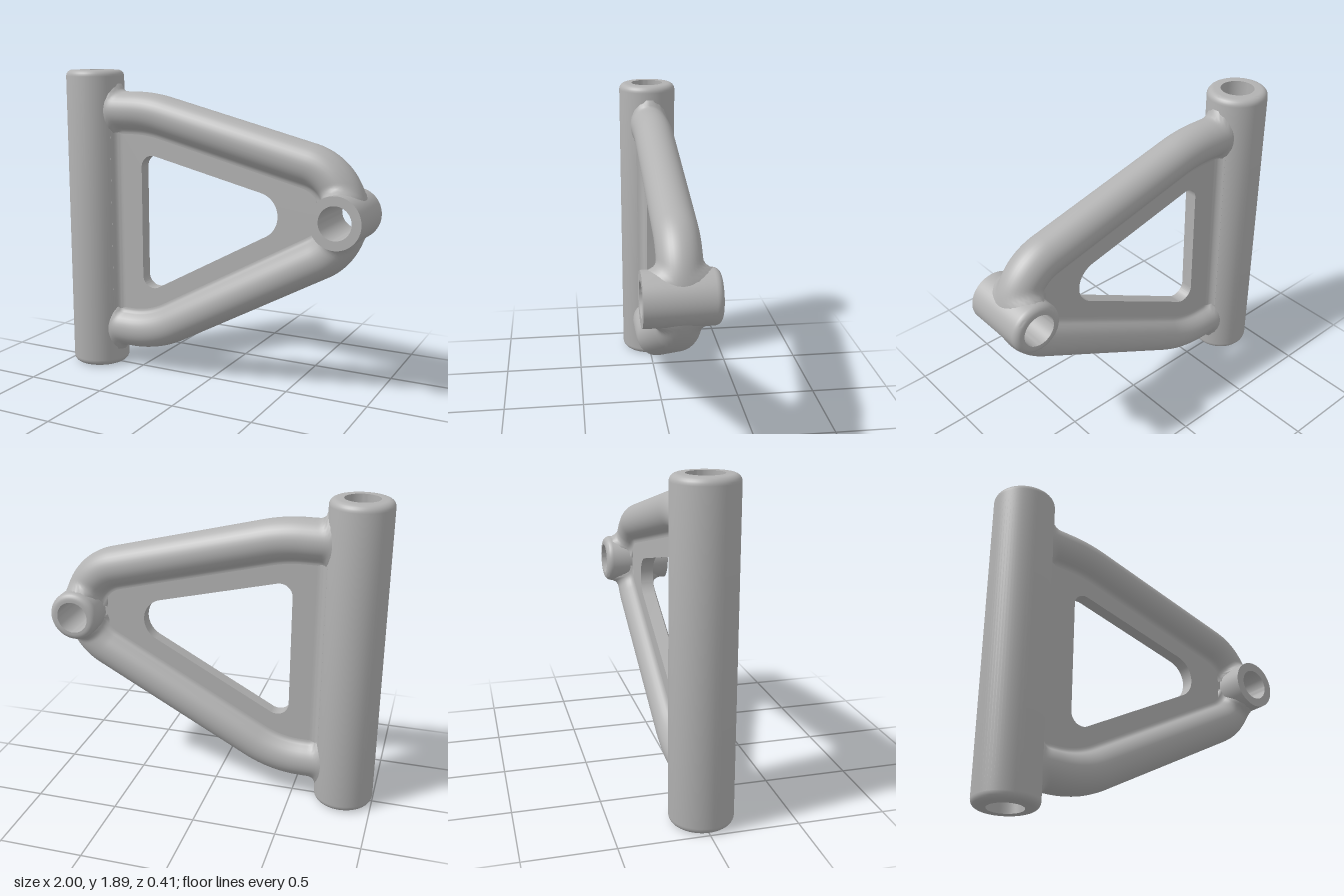
import * as THREE from 'three';
import { toCreasedNormals } from 'three/addons/utils/BufferGeometryUtils.js';

const RAD = Math.PI / 180;
const SLEEVE = { x: -0.82, r: 0.18, bore: 0.1, height: 1.89 };
const BOSS = { x: 0.845, y: 1.09, r: 0.15, bore: 0.096, half: 0.205 };
const ARM_R = 0.12;
const FILLET = 0.05;
const WEB_HALF = 0.04;
const V = (x, y) => new THREE.Vector2(x, y);

const metal = new THREE.MeshStandardMaterial({ color: 0xb2b2b2 });
metal.name = 'plain grey metal';

function part(name, geometry) {
  const mesh = new THREE.Mesh(geometry, metal);
  mesh.name = name;
  return mesh;
}

// Hollow cylinder with a separate edge radius at each end
function hollowCylinder(r, bore, y0, y1, round0, round1) {
  const pts = [V(bore, y0)];
  const corner = (cy, rad, from) => {
    if (!rad) return pts.push(V(r, cy));
    for (let i = 0; i <= 6; i++) {
      const a = (from + i * 15) * RAD;
      pts.push(V(r - rad + rad * Math.cos(a), cy + rad * Math.sin(a)));
    }
  };
  corner(y0 + round0, round0, -90);
  corner(y1 - round1, round1, 0);
  pts.push(V(bore, y1), V(bore, y0));
  return toCreasedNormals(new THREE.LatheGeometry(pts, 64), 40 * RAD);
}

// Extra radius of a concave fillet at distance d from the other surface
function flare(d) {
  if (d >= FILLET) return 0;
  const k = FILLET - Math.max(d, 0);
  return FILLET - Math.sqrt(FILLET * FILLET - k * k);
}

// Arm cross-section: round bar with small fillets running into the web
function armSection() {
  const f = 0.04;
  const cz = WEB_HALF + f;
  const cu = Math.sqrt((ARM_R + f) ** 2 - cz * cz);
  const half = [V(0.16, 0.038)];
  for (let i = 0; i <= 4; i++) {
    const a = (270 - i * 15) * RAD;
    half.push(V(cu + f * Math.cos(a), cz + f * Math.sin(a)));
  }
  for (let a = 40; a < 180; a += 10) half.push(V(ARM_R * Math.cos(a * RAD), ARM_R * Math.sin(a * RAD)));
  const mirrored = half.map((p) => V(p.x, -p.y)).reverse();
  return [...half, V(-ARM_R, 0), ...mirrored];
}

// Sweep of the section along a flat path; side is -1 for the upper arm, +1 for the lower
function armGeometry(path, side) {
  const section = armSection();
  const n = section.length;
  const steps = 130;
  const pos = [];
  const idx = [];
  for (let i = 0; i <= steps; i++) {
    const p = path.getPointAt(i / steps);
    const t = path.getTangentAt(i / steps);
    const inX = -t.y * side;
    const inY = t.x * side;
    for (const s of section) {
      // flare towards the sleeve and the boss
      const sleeveX = SLEEVE.x + Math.sqrt(SLEEVE.r ** 2 - s.y ** 2);
      const u = s.x + (flare(p.x - sleeveX) * s.x) / ARM_R;
      let x = p.x + inX * u;
      let y = p.y + inY * u;
      let dist = Math.hypot(x - BOSS.x, y - BOSS.y);
      const z = (s.y + (flare(dist - BOSS.r) * s.y) / ARM_R) * side;
      // stay inside the boss wall, clear of its bore
      if (dist < 0.125) {
        dist = Math.max(dist, 1e-4);
        x = BOSS.x + ((x - BOSS.x) * 0.125) / dist;
        y = BOSS.y + ((y - BOSS.y) * 0.125) / dist;
      }
      pos.push(x, y, z);
    }
  }
  for (let i = 0; i < steps; i++) {
    for (let j = 0; j < n; j++) {
      const a = i * n + j;
      const b = i * n + ((j + 1) % n);
      idx.push(a, b, a + n, b, b + n, a + n);
    }
  }
  const g = new THREE.BufferGeometry();
  g.setAttribute('position', new THREE.Float32BufferAttribute(pos, 3));
  g.setIndex(idx);
  g.computeVertexNormals();
  return g;
}

// Centre line: straight stub, soft bend, straight run, arc into the boss
function armPath(corner, bend, fromDeg, toDeg, clockwise) {
  const arc = new THREE.EllipseCurve(0.555, 1.095, 0.29, 0.29, fromDeg * RAD, toDeg * RAD, clockwise);
  const end = arc.getPoint(0);
  const start = V(-0.72, corner.y);
  const b0 = V(corner.x - bend, corner.y);
  const b1 = end.clone().sub(corner).setLength(bend).add(corner);
  const path = new THREE.CurvePath();
  path.add(new THREE.LineCurve(start, b0));
  path.add(new THREE.QuadraticBezierCurve(b0, corner, b1));
  path.add(new THREE.LineCurve(b1, end));
  path.add(arc);
  return path;
}

// Flat web between the arms, with a rounded triangular window
function webGeometry() {
  const shape = new THREE.Shape();
  shape.moveTo(-0.7, 0.25);
  shape.lineTo(-0.36, 0.27);
  shape.lineTo(0.69, 0.83);
  shape.absarc(BOSS.x, BOSS.y, 0.125, 240 * RAD, 120 * RAD, true);
  shape.lineTo(0.62, 1.38);
  shape.lineTo(-0.41, 1.63);
  shape.lineTo(-0.7, 1.64);
  shape.closePath();

  const hole = new THREE.Path();
  hole.absarc(-0.39, 0.615, 0.075, 180 * RAD, 298 * RAD, false);
  hole.absarc(0.308, 1.064, 0.137, -62 * RAD, 76 * RAD, false);
  hole.absarc(-0.39, 1.3, 0.075, 76 * RAD, 180 * RAD, false);
  hole.closePath();
  shape.holes.push(hole);

  const g = new THREE.ExtrudeGeometry(shape, { depth: WEB_HALF * 2, bevelEnabled: false, curveSegments: 16 });
  g.translate(0, 0, -WEB_HALF);
  return toCreasedNormals(g, 35 * RAD);
}

// Concave strip joining the sleeve to the web
function webFilletGeometry() {
  const s = new THREE.Shape();
  s.moveTo(-0.7, -0.085);
  s.lineTo(-0.661, -0.085);
  s.quadraticCurveTo(-0.645, -WEB_HALF, -0.6, -WEB_HALF);
  s.lineTo(-0.6, WEB_HALF);
  s.quadraticCurveTo(-0.645, WEB_HALF, -0.661, 0.085);
  s.lineTo(-0.7, 0.085);
  s.closePath();
  const g = new THREE.ExtrudeGeometry(s, { depth: 1.39, bevelEnabled: false, curveSegments: 8 });
  g.rotateX(-Math.PI / 2);
  g.translate(0, 0.25, 0);
  return toCreasedNormals(g, 35 * RAD);
}

export function createModel() {
  const model = new THREE.Group();
  model.name = 'controlArm';

  // Upright pivot sleeve
  const sleeve = part('pivotSleeve', hollowCylinder(SLEEVE.r, SLEEVE.bore, 0, SLEEVE.height, 0.04, 0.04));
  sleeve.position.x = SLEEVE.x;

  // Cross boss: crisp edge at the front, rounded at the back
  const boss = part('jointBoss', hollowCylinder(BOSS.r, BOSS.bore, -BOSS.half, BOSS.half, 0.04, 0));
  boss.rotation.x = Math.PI / 2;
  boss.position.set(BOSS.x, BOSS.y, 0);

  // Arms and web
  model.add(
    sleeve,
    boss,
    part('upperArm', armGeometry(armPath(V(-0.41, 1.64), 0.11, 76, 12, true), -1)),
    part('lowerArm', armGeometry(armPath(V(-0.393, 0.25), 0.16, -62, -12, false), 1)),
    part('web', webGeometry()),
    part('webFillet', webFilletGeometry())
  );
  return model;
}
